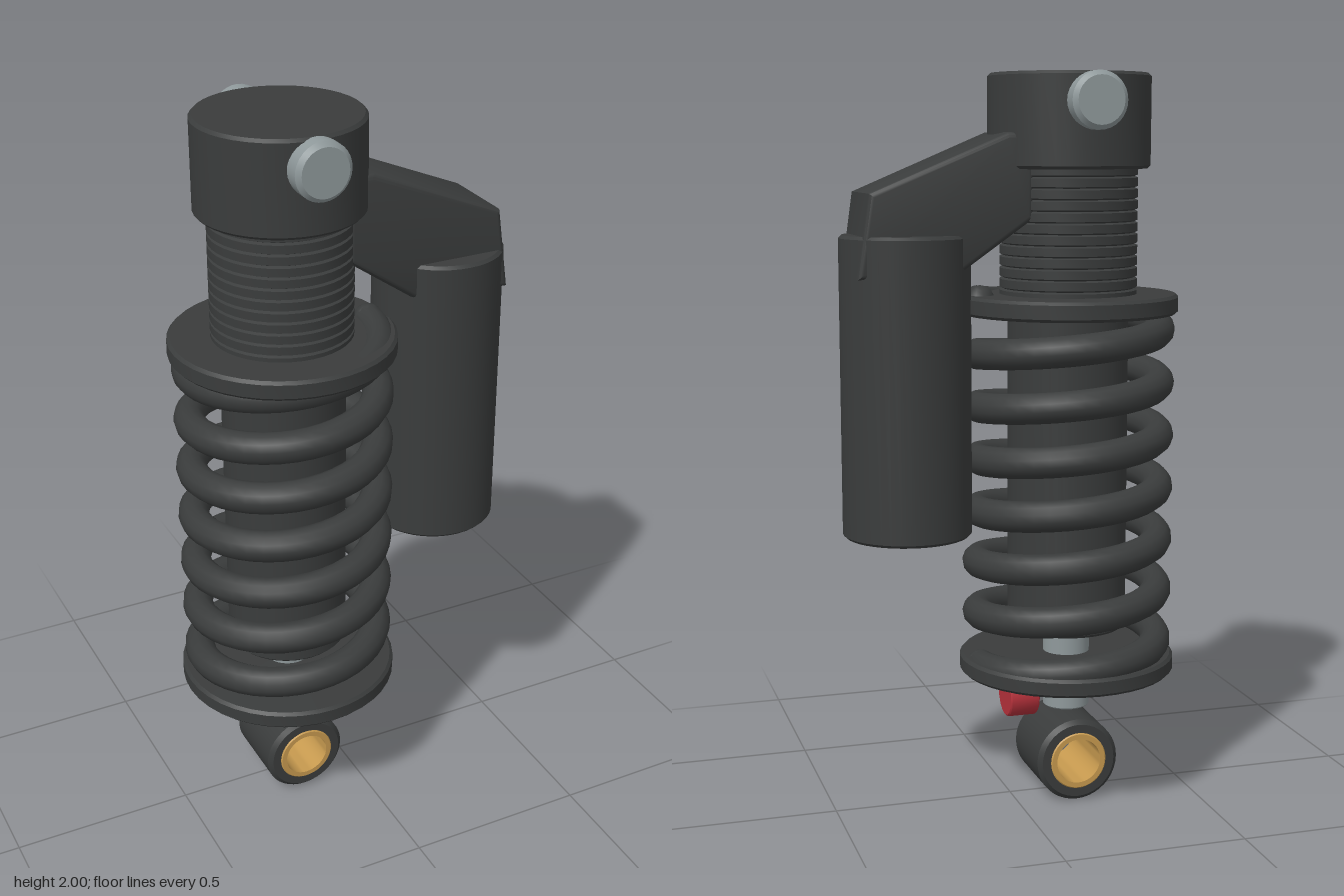
import * as THREE from 'three';
import { toCreasedNormals } from 'three/addons/utils/BufferGeometryUtils.js';

const AXIS = -0.165; // x of the damper's centre line

const paint = (color) => new THREE.MeshStandardMaterial({ color });

// Solid of revolution from [radius, height] pairs running upwards
function turned(points, sides = 40) {
  const lathe = new THREE.LatheGeometry(points.map(([r, y]) => new THREE.Vector2(r, y)), sides);
  return toCreasedNormals(lathe, 0.5);
}

// Capped cylinder from y0 to y1 with a small chamfer c
const disc = (r, y0, y1, c = 0.008, sides = 40) =>
  turned([[0, y0], [r - c, y0], [r, y0 + c], [r, y1 - c], [r - c, y1], [0, y1]], sides);

// Open sleeve centred on the origin with half length h
const sleeve = (inner, outer, h, c) =>
  turned([[inner, -h], [outer - c, -h], [outer, -h + c], [outer, h - c], [outer - c, h], [inner, h], [inner, -h]]);

// Rising coil: from +x it climbs through the back to -x and round the front
class Helix extends THREE.Curve {
  constructor(radius, y0, y1, turns) {
    super();
    Object.assign(this, { radius, y0, y1, turns });
  }
  getPoint(t, target = new THREE.Vector3()) {
    const a = -t * this.turns * Math.PI * 2;
    return target.set(this.radius * Math.cos(a), this.y0 + (this.y1 - this.y0) * t, this.radius * Math.sin(a));
  }
}

export function createModel() {
  const model = new THREE.Group();
  const dark = paint(0x3a3c3c), steel = paint(0x8f999b), red = paint(0xb8323c), brass = paint(0xc79a4f);

  const add = (name, geometry, material, x = AXIS, y = 0, z = 0) => {
    const mesh = new THREE.Mesh(geometry, material);
    mesh.name = name;
    mesh.position.set(x, y, z);
    model.add(mesh);
    return mesh;
  };

  // Head with a mounting pin through it
  add('head', disc(0.22, 1.75, 2), dark);
  add('mountingPin', disc(0.075, -0.262, 0.262, 0.012, 32), steel, AXIS, 1.925).rotation.x = Math.PI / 2;

  // Threaded upper body
  const thread = [[0, 1.38]];
  const pitch = 0.03;
  for (let y = 1.4; y < 1.755; y += pitch) {
    thread.push([0.178, y], [0.187, y + 0.004], [0.187, y + pitch - 0.004], [0.178, y + pitch]);
  }
  thread.push([0, 1.76]);
  add('threadedBody', turned(thread), dark);

  // Lower body, shaft and the two spring seats
  add('damperBody', disc(0.165, 0.485, 1.4), dark);
  add('shaft', disc(0.065, 0.25, 0.5, 0.004, 28), steel);
  add('upperSpringSeat', disc(0.3, 1.362, 1.415), dark);
  add('lowerSpringSeat', disc(0.3, 0.36, 0.41), dark);

  // Coil spring with rounded ends
  const coil = new Helix(0.25, 0.385, 1.4, 7);
  add('spring', new THREE.TubeGeometry(coil, 280, 0.042, 12), dark);
  for (const t of [0, 1]) {
    const p = coil.getPoint(t);
    add('springEnd', new THREE.SphereGeometry(0.042, 12, 8), dark, AXIS + p.x, p.y, p.z);
  }

  // Rebound adjuster knob, lying along x
  add('adjusterKnob', disc(0.065, -0.042, 0.042, 0.004, 16), red, -0.027, 0.295).rotation.z = -Math.PI / 2;

  // Lower eye and its bushing, open along z
  add('lowerEye', sleeve(0.078, 0.116, 0.115, 0.012), dark, AXIS, 0.118).rotation.x = Math.PI / 2;
  add('bushing', sleeve(0.063, 0.08, 0.119, 0.003), brass, AXIS, 0.118).rotation.x = Math.PI / 2;

  // Reservoir and the arm joining it to the head
  add('reservoir', disc(0.175, 0.77, 1.58), dark, 0.29);
  const profile = new THREE.Shape(
    [[-0.03, 1.62], [0.17, 1.48], [0.44, 1.47], [0.408, 1.69], [0.04, 1.845], [-0.03, 1.845]]
      .map(([x, y]) => new THREE.Vector2(x, y)));
  const bevel = 0.014, width = 0.24;
  const arm = new THREE.ExtrudeGeometry(profile, {
    depth: width - 2 * bevel, bevelThickness: bevel, bevelSize: bevel, bevelOffset: -bevel, bevelSegments: 3,
  });
  arm.translate(0, 0, bevel - width / 2);
  add('reservoirArm', toCreasedNormals(arm, 0.6), dark, 0);

  return model;
}
